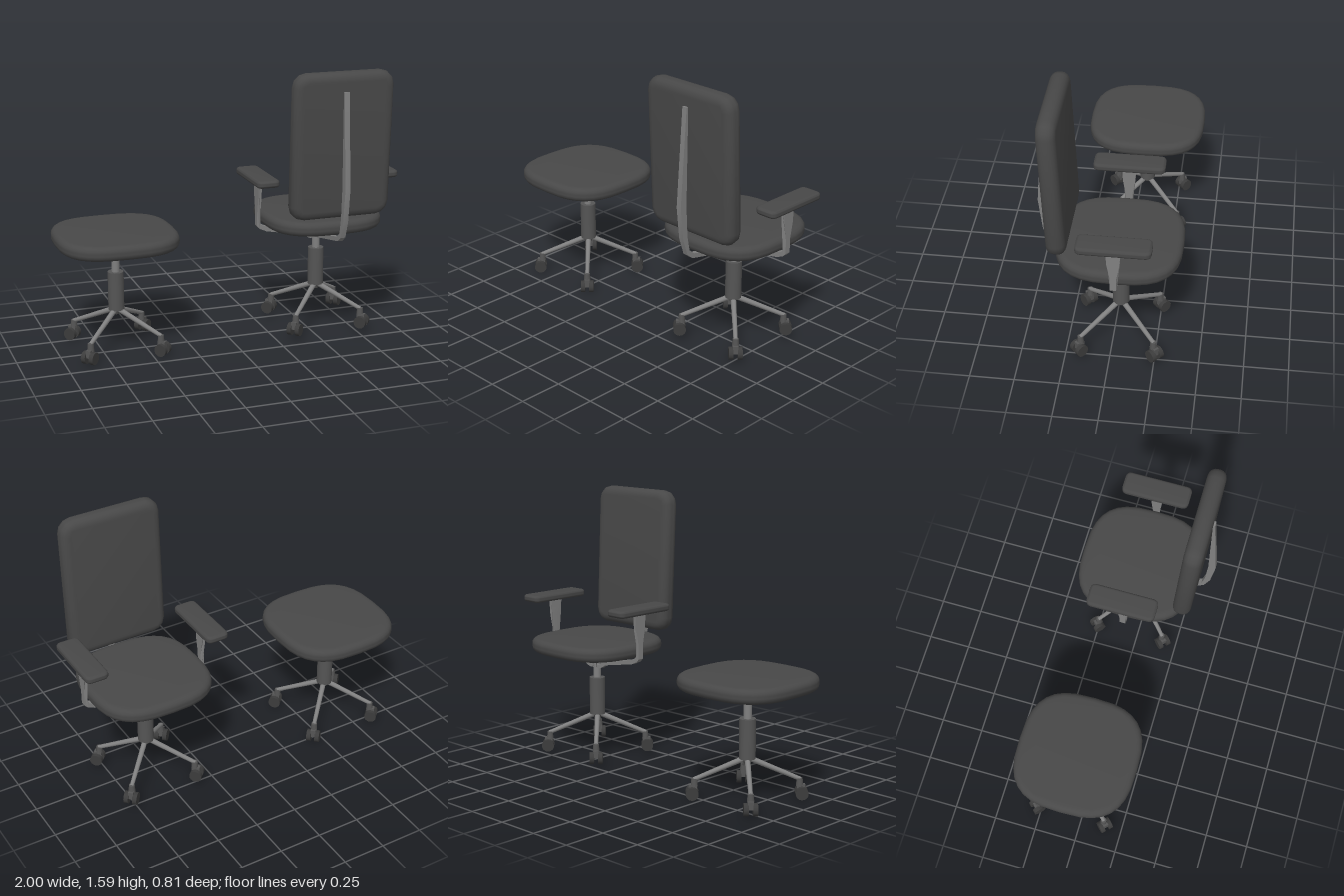
import * as THREE from 'three';
import { toCreasedNormals } from 'three/addons/utils/BufferGeometryUtils.js';

const paint = (color) => new THREE.MeshStandardMaterial({ color });
const fabric = paint(0x484848), metal = paint(0x808080), dark = paint(0x555555), rubber = paint(0x3c3c3c);

function add(parent, name, geometry, material, x = 0, y = 0, z = 0) {
  const mesh = new THREE.Mesh(geometry, material);
  mesh.name = name;
  mesh.position.set(x, y, z);
  parent.add(mesh);
  return mesh;
}

const toShape = (points) => new THREE.Shape(points.map(([x, y]) => new THREE.Vector2(x, y)));

// Padded slab in the xy plane, centred, with softly rounded rims
function cushion(points, thickness, rim) {
  const geo = new THREE.ExtrudeGeometry(toShape(points), {
    depth: thickness - 2 * rim, bevelThickness: rim, bevelSize: rim, bevelOffset: -rim, bevelSegments: 4,
  });
  geo.translate(0, 0, rim - thickness / 2);
  return toCreasedNormals(geo, 0.8);
}

// Rounded rectangle outline, counter-clockwise
function roundedRect(w, h, r, steps = 3) {
  const points = [];
  [[1, 1], [-1, 1], [-1, -1], [1, -1]].forEach(([sx, sy], quarter) => {
    for (let i = 0; i <= steps; i++) {
      const a = (quarter + i / steps) * Math.PI / 2;
      points.push([sx * (w / 2 - r) + r * Math.cos(a), sy * (h / 2 - r) + r * Math.sin(a)]);
    }
  });
  return points;
}

// Squarish seat outline with bulging sides
function seatOutline(half, count = 32) {
  return Array.from({ length: count }, (_, i) => {
    const a = (i / count) * Math.PI * 2;
    const bulge = (v) => Math.sign(v) * half * Math.pow(Math.abs(v), 2 / 2.9);
    return [bulge(Math.cos(a)), bulge(Math.sin(a))];
  });
}

// Straight tube between two points
function rod(parent, name, from, to, r1, r2, material) {
  const a = new THREE.Vector3(...from), b = new THREE.Vector3(...to);
  const mesh = add(parent, name, new THREE.CylinderGeometry(r2, r1, a.distanceTo(b), 10), material);
  mesh.position.copy(a).lerp(b, 0.5);
  mesh.quaternion.setFromUnitVectors(new THREE.Vector3(0, 1, 0), b.sub(a).normalize());
}

// Twin-wheel caster rolling along local x
function makeCaster() {
  const caster = new THREE.Group();
  caster.name = 'caster';
  add(caster, 'casterStem', new THREE.CylinderGeometry(0.017, 0.02, 0.045, 10), dark, 0, 0.095, 0);
  add(caster, 'casterHood', new THREE.BoxGeometry(0.046, 0.045, 0.03), dark, 0.008, 0.06, 0);
  for (const side of [-1, 1]) {
    const wheel = new THREE.CylinderGeometry(0.036, 0.036, 0.026, 14).rotateX(Math.PI / 2);
    add(caster, 'casterWheel', wheel, rubber, 0.012, 0.036, side * 0.025);
  }
  return caster;
}

// Shared by both seats: casters, four legs, gas column and seat pad
function makeSwivelSeat(name) {
  const group = new THREE.Group();
  group.name = name;
  for (let i = 0; i < 4; i++) {
    const leg = new THREE.Group();
    leg.name = 'leg';
    leg.rotation.y = Math.PI / 4 + i * Math.PI / 2;
    rod(leg, 'legTube', [0.015, 0.23, 0], [0.29, 0.112, 0], 0.016, 0.012, metal);
    const caster = makeCaster();
    caster.position.x = 0.288;
    leg.add(caster);
    group.add(leg);
  }
  add(group, 'legHub', new THREE.CylinderGeometry(0.035, 0.018, 0.04, 12), dark, 0, 0.222, 0);
  add(group, 'columnSleeve', new THREE.CylinderGeometry(0.046, 0.046, 0.225, 16), dark, 0, 0.342, 0);
  add(group, 'columnTube', new THREE.CylinderGeometry(0.023, 0.023, 0.2, 14), metal, 0, 0.535, 0);
  add(group, 'seat', cushion(seatOutline(0.346), 0.083, 0.035).rotateX(-Math.PI / 2), fabric, 0, 0.66, 0);
  return group;
}

// Flat bar bent into a cradle, widening in depth under the armrests
function armCradleGeometry() {
  const outer = [[0.376, 0.935], [0.376, 0.82], [0.376, 0.73], [0.376, 0.65], [0.36, 0.632],
    [0.318, 0.613], [0.095, 0.572], [0.045, 0.546]];
  const inner = [[0.035, 0.566], [0.075, 0.586], [0.3, 0.636], [0.345, 0.652], [0.356, 0.668],
    [0.356, 0.73], [0.356, 0.82], [0.356, 0.935]];
  const mirror = (points) => points.map(([x, y]) => [-x, y]).reverse();
  const geo = new THREE.ExtrudeGeometry(
    toShape([...outer, ...mirror(outer), ...mirror(inner), ...inner]), { depth: 1, bevelEnabled: false });
  geo.translate(0, 0, -0.5);
  const p = geo.attributes.position;
  for (let i = 0; i < p.count; i++) {
    const y = p.getY(i);
    const depth = y > 0.9 ? 0.084 : y > 0.8 ? 0.068 : 0.034;
    p.setZ(i, p.getZ(i) * depth);
  }
  return toCreasedNormals(geo, 0.4);
}

// Tapered bar from the column up behind the backrest, drawn in (z, y)
function spineGeometry() {
  const profile = [[0.367, 1.487], [0.405, 0.935], [0.384, 0.75], [0.35, 0.65], [0.31, 0.62], [-0.05, 0.546],
    [-0.05, 0.566], [0.3, 0.645], [0.335, 0.675], [0.352, 0.76], [0.362, 0.935], [0.355, 1.487]];
  const geo = new THREE.ExtrudeGeometry(toShape(profile), { depth: 0.03, bevelEnabled: false });
  geo.translate(0, 0, -0.015).rotateY(-Math.PI / 2);
  return toCreasedNormals(geo, 0.4);
}

export function createModel() {
  const model = new THREE.Group();
  model.name = 'chairAndStool';

  const stool = makeSwivelSeat('stool');
  stool.position.set(-0.654, 0, -0.064);
  model.add(stool);

  // Office chair: swivel seat plus backrest and arms
  const chair = new THREE.Group();
  chair.name = 'officeChair';
  chair.position.x = 0.563;
  const base = makeSwivelSeat('chairBase');
  base.position.set(0, 0.029, -0.042);
  chair.add(base);
  const back = add(chair, 'backrest', cushion(roundedRect(0.595, 0.838, 0.08), 0.105, 0.045), fabric, 0, 1.175, 0.29);
  back.rotation.x = 0.045;
  add(chair, 'backSpine', spineGeometry(), metal);
  add(chair, 'armCradle', armCradleGeometry(), metal, 0, 0, -0.045);
  add(chair, 'seatBracket', new THREE.BoxGeometry(0.034, 0.1, 0.034), dark, 0, 0.6, -0.045);
  for (const side of [-1, 1]) {
    const pad = cushion(roundedRect(0.135, 0.4, 0.03), 0.042, 0.015).rotateX(-Math.PI / 2);
    add(chair, 'armrest', pad, fabric, side * 0.367, 0.939, -0.049);
  }
  model.add(chair);
  return model;
}
